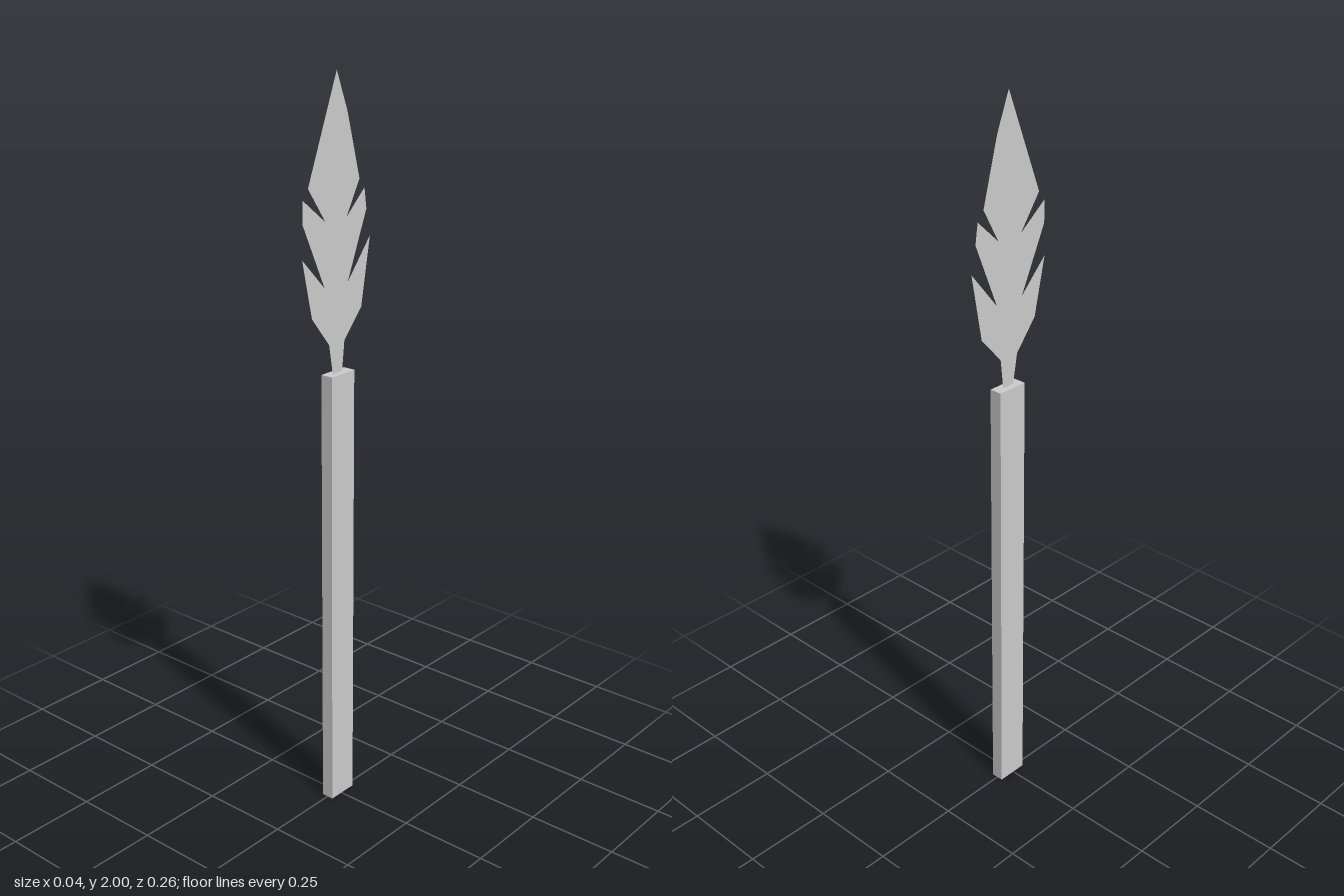
import * as THREE from 'three';

export function createModel() {
  const group = new THREE.Group();
  const material = new THREE.MeshStandardMaterial({ color: 0xcccccc, flatShading: true });
  const bladeMaterial = material.clone();
  bladeMaterial.side = THREE.DoubleSide;

  // Rectangular shaft, set slightly off the blade's axis
  const shaftHeight = 1.245;
  const shaft = new THREE.Mesh(new THREE.BoxGeometry(0.035, shaftHeight, 0.089), material);
  shaft.name = 'shaft';
  shaft.position.set(0, shaftHeight / 2, -0.0045);
  group.add(shaft);

  // Paper-thin barbed blade: outline as [z, y], from the tip down one edge and up the other
  const outline = [
    [0, 2], [-0.04, 1.9], [-0.087, 1.73], [-0.037, 1.64],
    [-0.107, 1.705], [-0.115, 1.65], [-0.043, 1.475],
    [-0.13, 1.58], [-0.097, 1.4], [-0.03, 1.325], [-0.021, shaftHeight],
    [0.016, shaftHeight], [0.03, 1.325], [0.095, 1.405], [0.13, 1.56],
    [0.047, 1.475], [0.127, 1.645], [0.127, 1.705],
    [0.043, 1.64], [0.107, 1.73],
  ];
  const shape = new THREE.Shape(outline.map(([z, y]) => new THREE.Vector2(-z, y)));
  const blade = new THREE.Mesh(new THREE.ShapeGeometry(shape), bladeMaterial);
  blade.name = 'blade';
  blade.rotation.y = Math.PI / 2;
  group.add(blade);

  return group;
}
